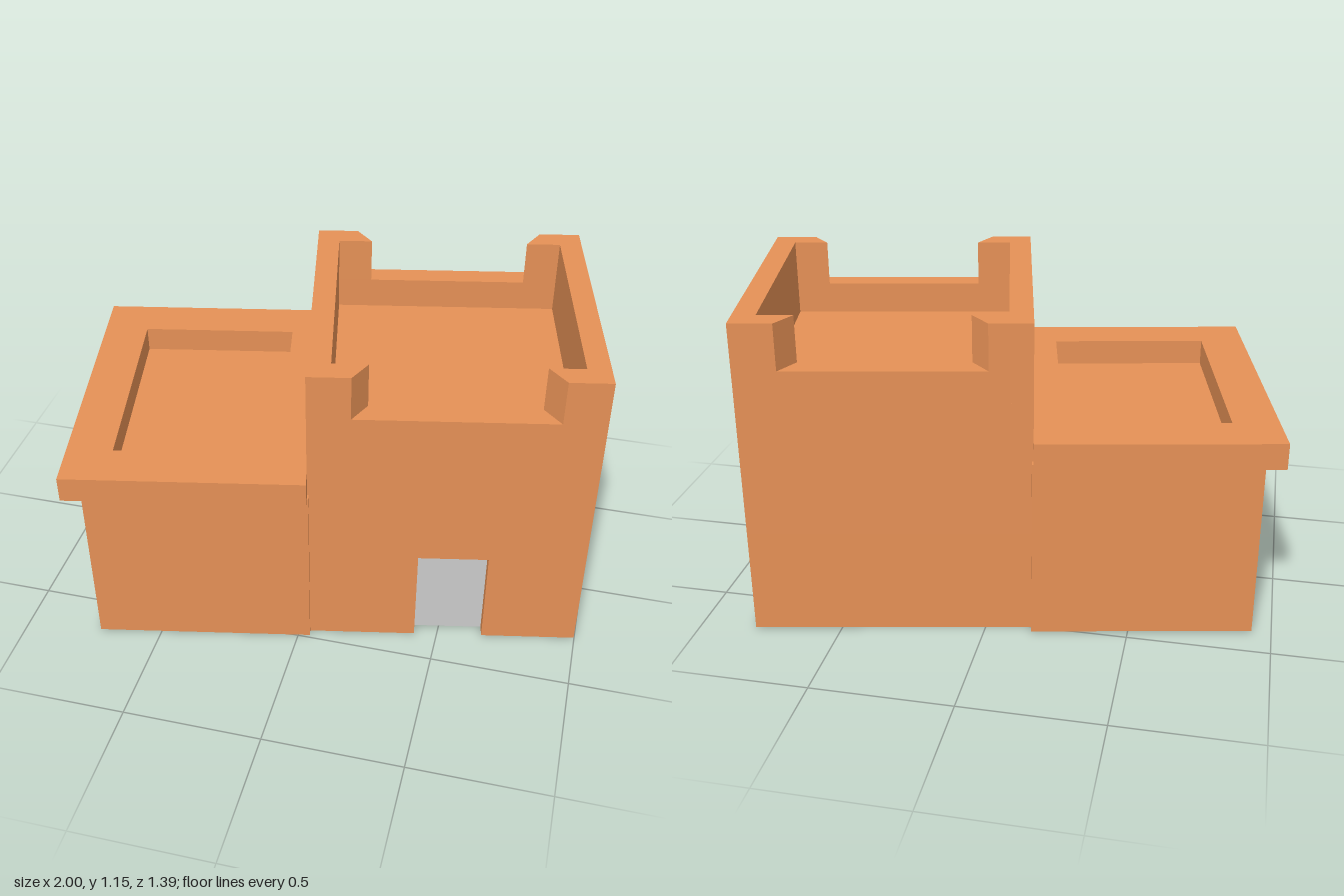
import * as THREE from 'three';

const clay = new THREE.MeshStandardMaterial({ color: 0xe69156 });
const grey = new THREE.MeshStandardMaterial({ color: 0xcccccc });

// Corners run counter-clockwise seen from above, for outlines and holes alike
const rect = (x0, x1, z0, z1) => [[x0, z1], [x1, z1], [x1, z0], [x0, z0]];

// Extrudes a plan outline of [x, z] points from height y0 to y1
function layer(name, outline, y0, y1, hole) {
  const toPoints = (list) => list.map(([x, z]) => new THREE.Vector2(x, -z));
  const shape = new THREE.Shape(toPoints(outline));
  if (hole) shape.holes.push(new THREE.Path(toPoints(hole)));
  const geometry = new THREE.ExtrudeGeometry(shape, { depth: y1 - y0, bevelEnabled: false });
  geometry.rotateX(-Math.PI / 2).translate(0, y0, 0);
  const mesh = new THREE.Mesh(geometry, clay);
  mesh.name = name;
  return mesh;
}

function box(name, x0, x1, y0, y1, z0, z1) {
  const geometry = new THREE.BoxGeometry(x1 - x0, y1 - y0, z1 - z0);
  geometry.translate((x0 + x1) / 2, (y0 + y1) / 2, (z0 + z1) / 2);
  const mesh = new THREE.Mesh(geometry, grey);
  mesh.name = name;
  return mesh;
}

const RECESS = 0.045; // how far the doors sit back

function createTower() {
  const tower = new THREE.Group();
  tower.name = 'tower';
  const h = 0.493, i = 0.413; // outer and inner half widths
  const [d0, d1, doorTop] = [-0.1, 0.15, 0.38];
  const [floor, sill, top] = [0.87, 0.985, 1.15];
  const outer = rect(-h, h, -h, h);

  // Lower walls with the front doorway cut in
  const doorPlan = [[-h, -h], [h, -h], [h, h], [d1, h], [d1, h - RECESS], [d0, h - RECESS], [d0, h], [-h, h]];
  tower.add(layer('towerLowerWalls', doorPlan, 0, doorTop));
  tower.add(layer('towerUpperWalls', outer, doorTop, floor));
  tower.add(layer('towerParapet', outer, floor, sill, rect(-i, i, -i, i)));

  // Raised parapet sides that wrap the corners with splayed ends
  for (const s of [-1, 1]) {
    const plan = [[0.345, h], [h, h], [h, -h], [0.345, -h], [0.29, -i], [i, -i], [i, i], [0.29, i]];
    const name = s > 0 ? 'leftRaisedParapet' : 'rightRaisedParapet';
    tower.add(layer(name, plan.map(([x, z]) => [s * x, z]), sill, top));
  }

  const face = h - RECESS + 0.002;
  tower.add(box('frontDoor', d0, d1, 0, doorTop, face - 0.02, face));
  return tower;
}

function createAnnex() {
  const annex = new THREE.Group();
  annex.name = 'annex';
  const [x0, x1, z] = [-0.355, 0.428, 0.519];
  const [d0, d1, doorTop] = [-0.095, 0.16, 0.334];
  const [eave, top] = [0.659, 0.753];

  // Lower walls with the side doorway cut in
  const r = x0 + RECESS;
  const doorPlan = [[x0, -z], [x1, -z], [x1, z], [x0, z], [x0, d1], [r, d1], [r, d0], [x0, d0]];
  annex.add(layer('annexLowerWalls', doorPlan, 0, doorTop));
  annex.add(layer('annexUpperWalls', rect(x0, x1, -z, z), doorTop, eave));

  // Overhanging roof rim around the sunken roof
  const well = rect(-0.255, 0.32, -0.39, 0.392);
  annex.add(layer('annexRoofRim', rect(-0.418, 0.423, -0.556, 0.557), eave, top, well));

  const face = r - 0.002;
  annex.add(box('sideDoor', face, face + 0.02, 0, doorTop, d0, d1));
  return annex;
}

export function createModel() {
  const model = new THREE.Group();
  model.name = 'adobeHouse';
  const tower = createTower();
  tower.position.set(0.4175, 0, -0.115);
  const annex = createAnnex();
  annex.position.set(-0.48, 0, 0.0645);
  // Both blocks stand turned by the same angle
  for (const part of [tower, annex]) {
    part.rotation.y = 0.2;
    model.add(part);
  }
  return model;
}
